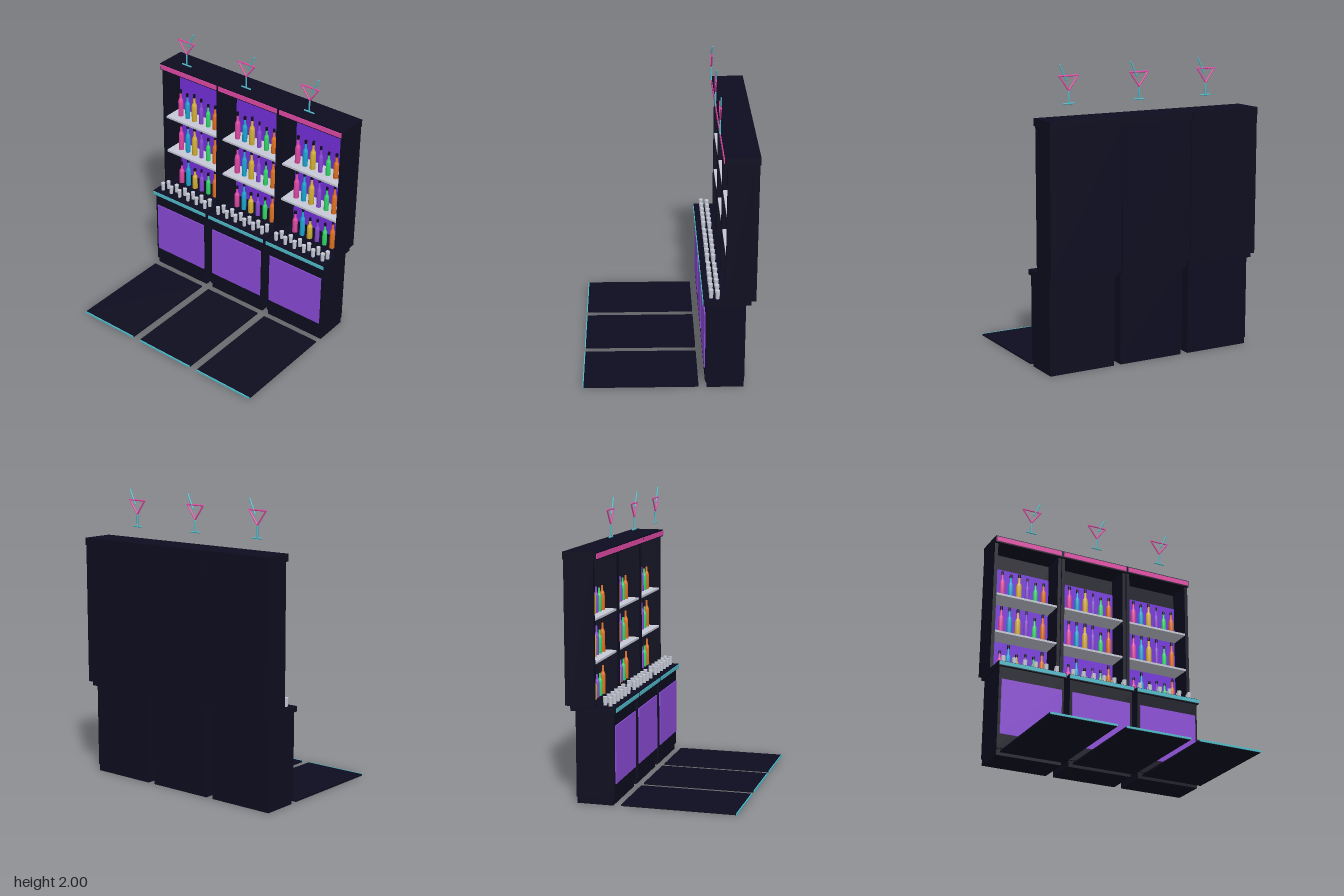
import * as THREE from 'three';

const mat = (name, color, side = THREE.FrontSide) => {
  const m = new THREE.MeshStandardMaterial({ color, side });
  m.name = name;
  return m;
};

export function createModel() {
  const navy = mat('dark navy', 0x0d0d20);
  const pink = mat('neon pink', 0xe44aa8);
  const teal = mat('neon teal', 0x4fbccb);
  const violet = mat('backlight violet', 0x7430dc);
  const lavender = mat('panel lavender', 0x8c4cd8);
  const blue = mat('bottle blue', 0x1ea8d8);
  const gold = mat('bottle gold', 0xdab538);
  const green = mat('bottle green', 0x34dc6c);
  const orange = mat('bottle orange', 0xe67424);
  const glass = mat('pale glass', 0xc6cad6);

  const add = (parent, name, geo, material, x = 0, y = 0, z = 0) => {
    const mesh = new THREE.Mesh(geo, material);
    mesh.name = name;
    mesh.position.set(x, y, z);
    parent.add(mesh);
    return mesh;
  };
  // Box given by its limits on each axis
  const box = (parent, name, material, x0, x1, y0, y1, z0, z1) =>
    add(parent, name, new THREE.BoxGeometry(x1 - x0, y1 - y0, z1 - z0), material,
      (x0 + x1) / 2, (y0 + y1) / 2, (z0 + z1) / 2);
  const wide = (parent, name, material, half, ...rest) => box(parent, name, material, -half, half, ...rest);

  // Bottle with straight body, sloped shoulder, slim neck and dark cap
  const bottle = (parent, material, r, h, x, y, z) => {
    const g = new THREE.Group();
    g.name = 'bottle';
    g.position.set(x, y, z);
    const profile = [[0, 0], [r, 0], [r, h * 0.55], [r * 0.82, h * 0.63], [r * 0.42, h * 0.7], [r * 0.4, h * 0.88]]
      .map(([px, py]) => new THREE.Vector2(px, py));
    add(g, 'bottleBody', new THREE.LatheGeometry(profile, 12), material);
    add(g, 'bottleCap', new THREE.CylinderGeometry(r * 0.52, r * 0.52, h * 0.12, 10), navy, 0, h * 0.94, 0);
    parent.add(g);
  };

  // Neon tube between two points in the sign plane
  const tube = (parent, name, material, a, b) => {
    const dx = b[0] - a[0], dy = b[1] - a[1];
    const m = add(parent, name, new THREE.CapsuleGeometry(0.0055, Math.hypot(dx, dy), 3, 8), material,
      (a[0] + b[0]) / 2, (a[1] + b[1]) / 2, -0.333);
    m.rotation.z = Math.atan2(-dx, dy);
  };

  const bottleKinds = [[pink, 0.019], [blue, 0.018], [gold, 0.02], [lavender, 0.016], [green, 0.017], [orange, 0.018]];
  const rows = [
    { y: 0.66, h: [0.173, 0.226, 0.167, 0.183, 0.178, 0.226] },
    { y: 0.95, h: [0.222, 0.227, 0.227, 0.227, 0.185, 0.227] },
    { y: 1.236, h: [0.212, 0.2, 0.216, 0.2, 0.18, 0.19] },
  ];

  const buildBay = () => {
    const bay = new THREE.Group();
    bay.name = 'barBay';

    // Floor mat with lit front edge
    wide(bay, 'floorMat', navy, 0.231, 0, 0.012, -0.203, 0.57);
    wide(bay, 'matEdge', teal, 0.231, 0, 0.013, 0.57, 0.577);

    // Base cabinet
    wide(bay, 'plinth', navy, 0.235, 0, 0.045, -0.505, -0.257);
    wide(bay, 'cabinet', navy, 0.24, 0.045, 0.627, -0.508, -0.245);
    wide(bay, 'frontPanel', lavender, 0.222, 0.145, 0.535, -0.245, -0.237);
    wide(bay, 'counterTop', navy, 0.252, 0.625, 0.66, -0.54, -0.228);
    wide(bay, 'counterStrip', teal, 0.248, 0.63, 0.656, -0.228, -0.223);

    // Back shelf unit
    wide(bay, 'backWall', navy, 0.26, 0.66, 1.625, -0.572, -0.54);
    for (const s of [-1, 1]) {
      add(bay, 'sideWall', new THREE.BoxGeometry(0.025, 0.965, 0.17), navy, s * 0.2475, 1.1425, -0.455);
    }
    wide(bay, 'backlight', violet, 0.235, 0.69, 1.505, -0.54, -0.533);
    wide(bay, 'header', navy, 0.2615, 1.62, 1.67, -0.577, -0.35);
    wide(bay, 'headerStrip', pink, 0.253, 1.628, 1.662, -0.35, -0.345);
    for (const { y } of rows.slice(1)) wide(bay, 'shelf', glass, 0.235, y - 0.015, y, -0.533, -0.375);

    // Bottles
    for (const { y, h } of rows) {
      bottleKinds.forEach(([m, r], i) => bottle(bay, m, r, h[i], -0.16 + i * 0.064, y, -0.45));
    }

    // Two staggered rows of tumblers on the counter
    const tumbler = new THREE.CylinderGeometry(0.016, 0.013, 0.06, 10);
    for (let i = 0; i < 6; i++) {
      add(bay, 'tumbler', tumbler, glass, -0.2 + i * 0.08, 0.69, -0.28);
      add(bay, 'tumbler', tumbler, glass, -0.182 + i * 0.079, 0.69, -0.322);
    }

    // Neon cocktail glass above the header
    const sign = new THREE.Group();
    sign.name = 'neonCocktail';
    bay.add(sign);
    const L = [-0.069, 1.925], R = [0.069, 1.925], B = [0, 1.83];
    tube(sign, 'signRim', pink, L, R);
    tube(sign, 'signBowl', pink, L, B);
    tube(sign, 'signBowl', pink, R, B);
    tube(sign, 'signStem', teal, [0, 1.745], [0, 1.822]);
    tube(sign, 'signFoot', teal, [-0.037, 1.745], [0.037, 1.745]);
    tube(sign, 'signStraw', teal, [0.018, 1.896], [0.064, 1.995]);
    return bay;
  };

  const model = new THREE.Group();
  model.name = 'backBar';
  for (const x of [-0.525, 0, 0.525]) {
    const bay = buildBay();
    bay.position.x = x;
    model.add(bay);
  }
  return model;
}
